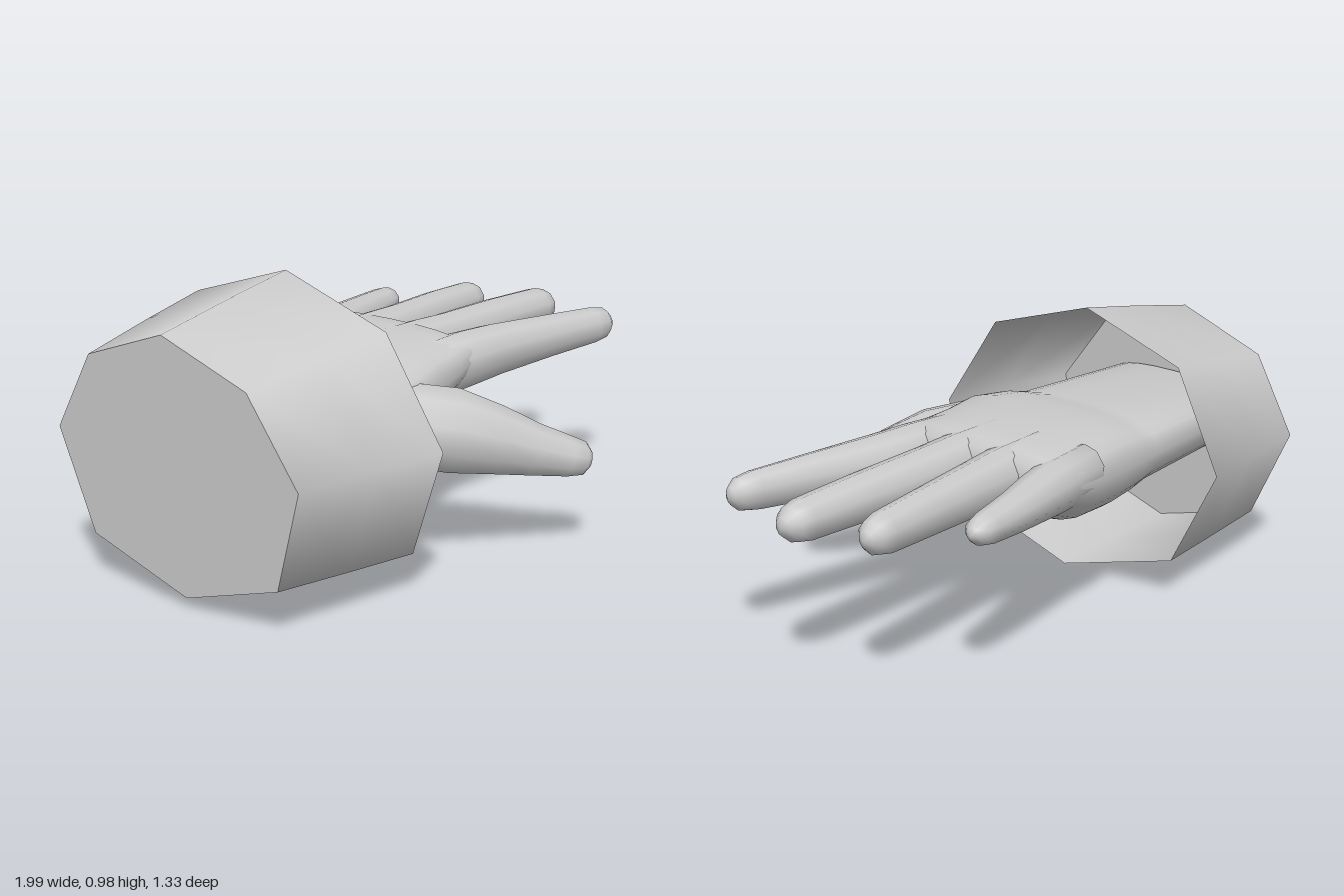
import * as THREE from 'three';

const grey = new THREE.MeshStandardMaterial({ color: 0xcccccc, side: THREE.DoubleSide });
grey.name = 'plain grey';

// Smooth skin over a list of rings; optional poles close the two ends
function loft(rings, startPole, endPole) {
  const n = rings[0].length, pts = rings.flat(), index = [];
  for (let i = 0; i < rings.length - 1; i++) {
    for (let j = 0; j < n; j++) {
      const k = (j + 1) % n;
      const a = i * n + j, b = i * n + k, d = a + n, e = b + n;
      index.push(a, d, b, b, d, e);
    }
  }
  const cap = (pole, base, flip) => {
    const p = pts.push(pole) - 1;
    for (let j = 0; j < n; j++) {
      const k = (j + 1) % n;
      index.push(p, base + (flip ? k : j), base + (flip ? j : k));
    }
  };
  const last = (rings.length - 1) * n;
  if (startPole) cap(startPole, 0, false);
  if (endPole) cap(endPole, last, true);
  const g = new THREE.BufferGeometry().setFromPoints(pts);
  g.setIndex(index);
  g.computeVertexNormals();
  return g;
}

// Finger: rows of [x, y, z, halfWidth, halfHeight] swept along their own path
function finger(rows, sides = 10) {
  const c = rows.map(r => new THREE.Vector3(r[0], r[1], r[2]));
  const rings = rows.map((r, i) => {
    const t = c[Math.min(i + 1, c.length - 1)].clone().sub(c[Math.max(i - 1, 0)]).normalize();
    const side = t.clone().cross(new THREE.Vector3(0, 1, 0)).normalize();
    const up = side.clone().cross(t);
    return Array.from({ length: sides }, (_, j) => {
      const a = (j + 0.5) / sides * Math.PI * 2;
      return c[i].clone()
        .addScaledVector(side, Math.cos(a) * r[3])
        .addScaledVector(up, Math.sin(a) * r[4]);
    });
  });
  const m = c.length - 1;
  const tip = c[m].clone().add(c[m].clone().sub(c[m - 1]).normalize().multiplyScalar(0.012));
  return loft(rings, c[0], tip);
}

// Palm and wrist: rows of [x, zMin, zMax, yBottom, yTop], flatter above, rounder below
function palm(rows, sides = 28) {
  const rings = rows.map(([x, z0, z1, y0, y1]) => {
    const mid = y0 + (y1 - y0) * 0.6;
    return Array.from({ length: sides }, (_, j) => {
      const a = j / sides * Math.PI * 2, c = Math.cos(a), s = Math.sin(a);
      const y = s > 0 ? mid + (y1 - mid) * Math.pow(s, 0.65) : mid + (mid - y0) * s;
      const z = (z0 + z1) / 2 + (z1 - z0) / 2 * Math.sign(c) * Math.pow(Math.abs(c), 0.75);
      return new THREE.Vector3(x, y, z);
    });
  });
  return loft(rings, new THREE.Vector3(-0.99, 0.5, -0.07), new THREE.Vector3(0.215, 0.59, -0.16));
}

export function createModel() {
  const group = new THREE.Group();
  const add = (name, geometry) => {
    const mesh = new THREE.Mesh(geometry, grey);
    mesh.name = name;
    group.add(mesh);
  };

  // Eight-sided sleeve cuff, open towards the hand, [z, y] outlines
  const rim = [[0.56, 0.5], [0.33, 0.845], [-0.09, 0.98], [-0.49, 0.85],
    [-0.665, 0.505], [-0.485, 0.15], [-0.01, 0.005], [0.44, 0.14]];
  const back = [[0.46, 0.49], [0.255, 0.76], [-0.1, 0.875], [-0.43, 0.757],
    [-0.582, 0.49], [-0.43, 0.16], [-0.02, 0.04], [0.37, 0.16]];
  const ringAt = (x, t) => back.map(([z, y], i) => new THREE.Vector3(
    x, y + (rim[i][1] - y) * t, z + (rim[i][0] - z) * t));
  const backRing = ringAt(-1, 0);
  add('cuff', loft([backRing, ringAt(-0.71, 0.55), ringAt(-0.45, 1)]));
  add('cuffBack', loft([backRing], new THREE.Vector3(-1, 0.46, -0.06)));

  // Wrist and palm
  add('palm', palm([
    [-0.99, -0.37, 0.23, 0.38, 0.62],
    [-0.46, -0.41, 0.265, 0.355, 0.635],
    [-0.36, -0.435, 0.29, 0.34, 0.66],
    [-0.22, -0.465, 0.29, 0.335, 0.683],
    [-0.05, -0.5, 0.24, 0.36, 0.69],
    [0.08, -0.525, 0.215, 0.42, 0.69],
    [0.16, -0.53, 0.2, 0.465, 0.685],
    [0.2, -0.515, 0.18, 0.51, 0.665],
  ]));

  // Four fingers
  add('indexFinger', finger([
    [-0.02, 0.57, 0.11, 0.09, 0.1], [0.2, 0.58, 0.115, 0.095, 0.1],
    [0.35, 0.585, 0.13, 0.09, 0.092], [0.6, 0.59, 0.175, 0.073, 0.078],
    [0.82, 0.592, 0.215, 0.06, 0.067], [0.88, 0.592, 0.225, 0.05, 0.056],
    [0.908, 0.592, 0.23, 0.027, 0.03],
  ]));
  add('middleFinger', finger([
    [0, 0.59, -0.08, 0.085, 0.1], [0.2, 0.588, -0.08, 0.092, 0.1],
    [0.35, 0.592, -0.08, 0.083, 0.09], [0.65, 0.597, -0.088, 0.08, 0.08],
    [0.9, 0.597, -0.092, 0.073, 0.07], [0.95, 0.595, -0.092, 0.06, 0.058],
    [0.98, 0.595, -0.092, 0.032, 0.032],
  ]));
  add('ringFinger', finger([
    [0, 0.59, -0.265, 0.085, 0.1], [0.2, 0.588, -0.275, 0.09, 0.1],
    [0.35, 0.592, -0.29, 0.08, 0.09], [0.6, 0.597, -0.325, 0.071, 0.08],
    [0.81, 0.597, -0.348, 0.065, 0.07], [0.86, 0.596, -0.352, 0.053, 0.056],
    [0.885, 0.596, -0.353, 0.028, 0.03],
  ]));
  add('littleFinger', finger([
    [-0.05, 0.58, -0.42, 0.08, 0.09], [0.15, 0.585, -0.455, 0.085, 0.09],
    [0.28, 0.59, -0.487, 0.078, 0.08], [0.42, 0.595, -0.525, 0.067, 0.067],
    [0.58, 0.602, -0.56, 0.056, 0.053], [0.625, 0.603, -0.567, 0.046, 0.043],
    [0.65, 0.603, -0.57, 0.024, 0.023],
  ]));

  // Thumb, angled forward and down
  add('thumb', finger([
    [-0.4, 0.5, 0.13, 0.1, 0.11], [-0.27, 0.485, 0.22, 0.16, 0.14],
    [-0.13, 0.45, 0.33, 0.162, 0.145], [-0.02, 0.41, 0.425, 0.125, 0.12],
    [0.08, 0.37, 0.505, 0.1, 0.092], [0.18, 0.336, 0.582, 0.078, 0.07],
    [0.222, 0.325, 0.612, 0.063, 0.058], [0.24, 0.32, 0.624, 0.035, 0.035],
  ]));

  return group;
}
